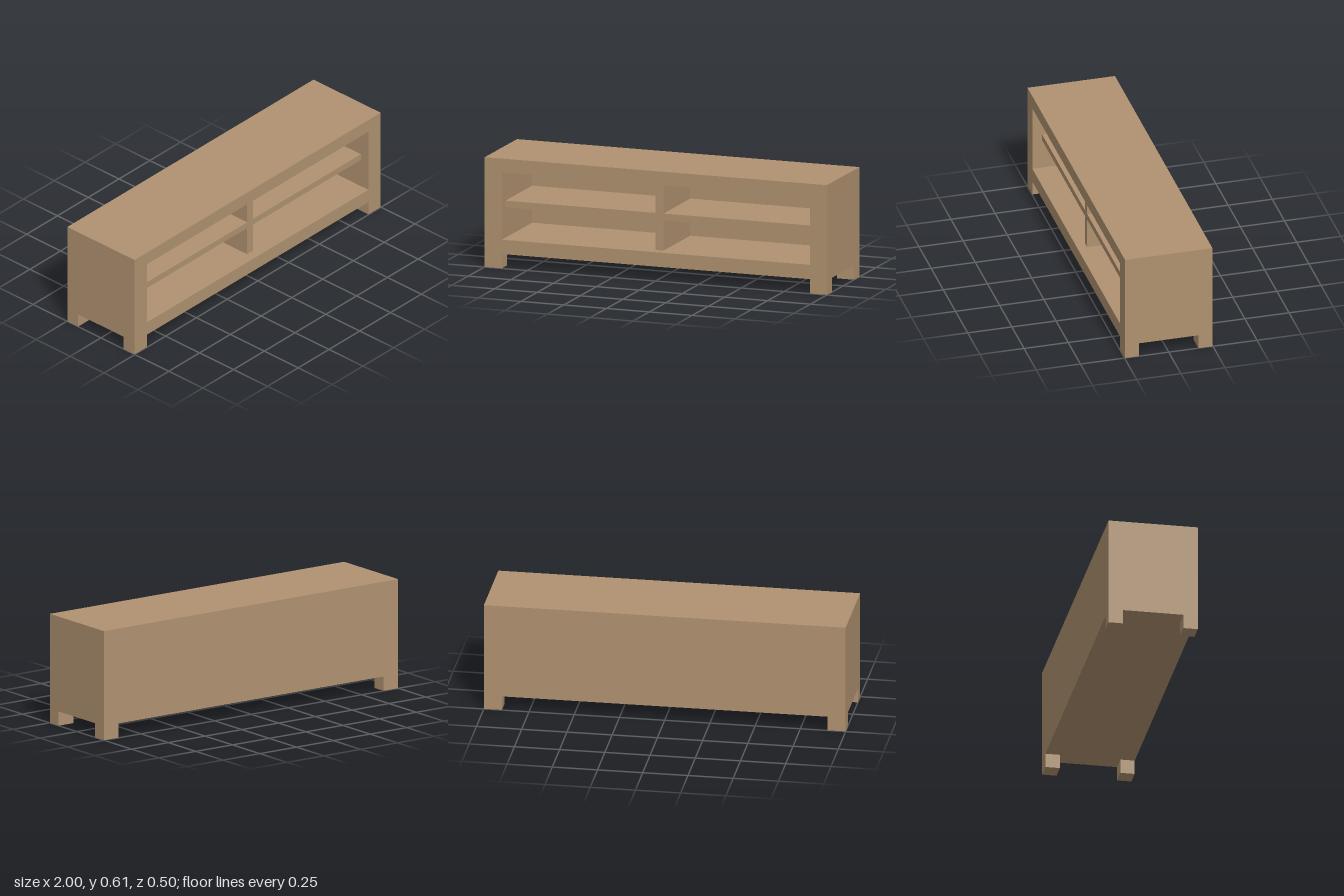
import * as THREE from 'three';

const W = 2, H = 0.613, D = 0.495;       // overall size
const LEG_H = 0.08, LEG_W = 0.1, LEG_D = 0.08;
const IN_X = 0.9, IN_Y0 = 0.16, IN_Y1 = 0.537; // compartment opening
const BACK = 0.03, RECESS = 0.055;

export function createModel() {
  const group = new THREE.Group();
  const wood = new THREE.MeshStandardMaterial({ color: 0xb09270 });
  wood.name = 'light wood';

  const add = (name, geometry) => {
    const mesh = new THREE.Mesh(geometry, wood);
    mesh.name = name;
    group.add(mesh);
    return mesh;
  };
  // box given by its minimum and maximum corners
  const box = (name, x0, x1, y0, y1, z0, z1) =>
    add(name, new THREE.BoxGeometry(x1 - x0, y1 - y0, z1 - z0))
      .position.set((x0 + x1) / 2, (y0 + y1) / 2, (z0 + z1) / 2);
  const rect = (path, x0, x1, y0, y1) =>
    path.moveTo(x0, y0).lineTo(x1, y0).lineTo(x1, y1).lineTo(x0, y1).closePath();

  // cabinet body: thick frame around one wide opening
  const outline = rect(new THREE.Shape(), -W / 2, W / 2, LEG_H, H);
  outline.holes.push(rect(new THREE.Path(), -IN_X, IN_X, IN_Y0, IN_Y1));
  const body = new THREE.ExtrudeGeometry(outline, { depth: D - BACK, bevelEnabled: false });
  body.translate(0, 0, -D / 2 + BACK);
  add('cabinetBody', body);

  // closed back
  const zBack = -D / 2 + BACK, zFront = D / 2 - RECESS;
  box('backPanel', -W / 2, W / 2, LEG_H, H, -D / 2, zBack);

  // recessed divider with a shelf on each side
  const half = 0.024;
  box('divider', -half, half, IN_Y0, IN_Y1, zBack, zFront);
  box('rightShelf', -IN_X, -half, 0.33, 0.367, zBack, zFront);
  box('leftShelf', half, IN_X, 0.33, 0.367, zBack, zFront);

  // four corner legs
  for (const sx of [-1, 1]) {
    for (const sz of [-1, 1]) {
      const leg = add((sz > 0 ? 'front' : 'back') + (sx > 0 ? 'Left' : 'Right') + 'Leg',
        new THREE.BoxGeometry(LEG_W, LEG_H, LEG_D));
      leg.position.set(sx * (W - LEG_W) / 2, LEG_H / 2, sz * (D - LEG_D) / 2);
    }
  }
  return group;
}
